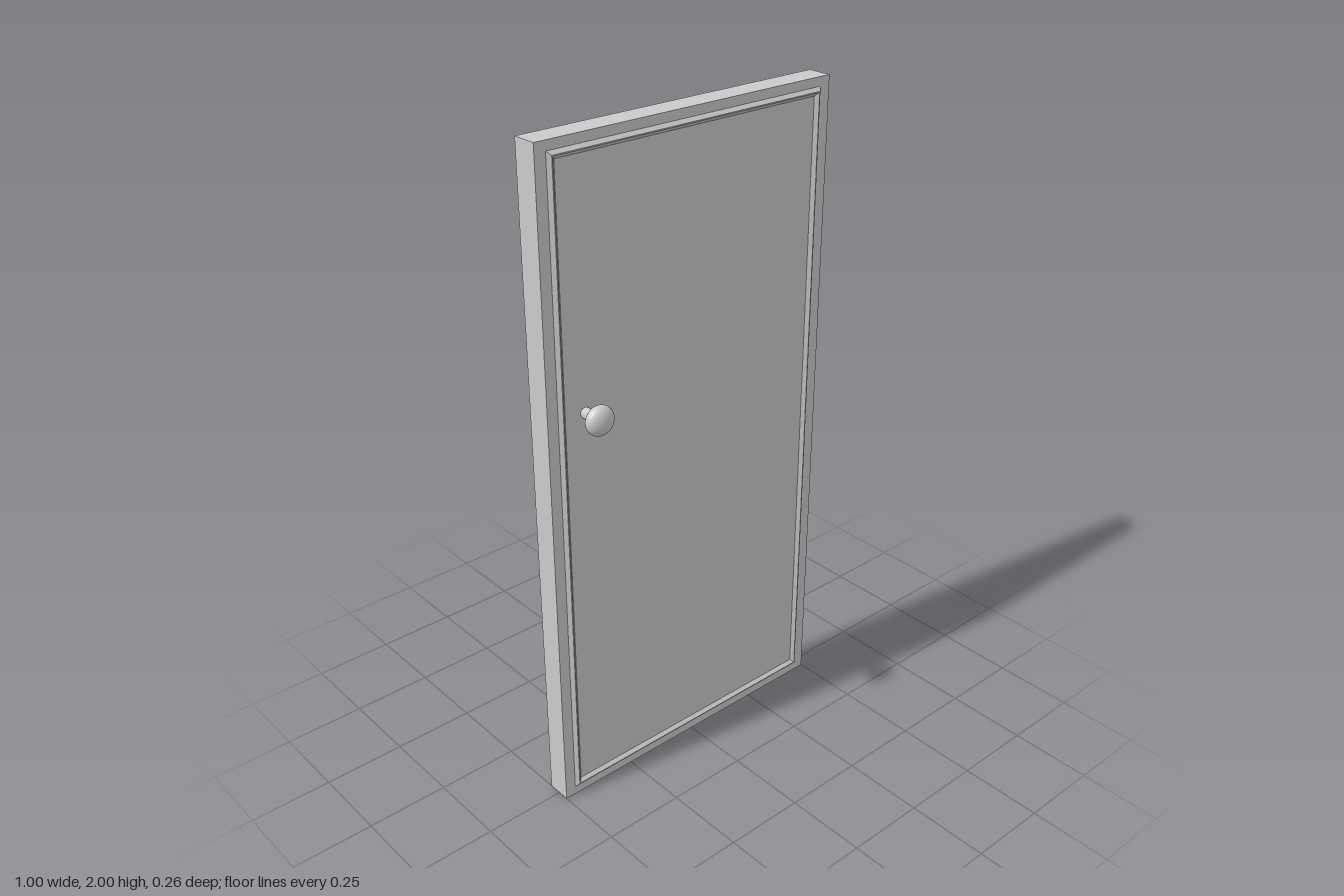
import * as THREE from 'three';

export function createModel() {
  const door = new THREE.Group();
  door.name = 'door';
  door.position.z = -0.002;
  const grey = new THREE.MeshStandardMaterial({ color: 0xcccccc });
  const add = (parent, name, geometry) => {
    const mesh = new THREE.Mesh(geometry, grey);
    mesh.name = name;
    parent.add(mesh);
    return mesh;
  };

  // Plain slab
  const halfDepth = 0.0375;
  add(door, 'slab', new THREE.BoxGeometry(1, 2, halfDepth * 2)).position.y = 1;

  // Rectangular outline centred on the slab
  const rectangle = (w, h, Type) => new Type().setFromPoints([
    new THREE.Vector2(-w, -h), new THREE.Vector2(w, -h),
    new THREE.Vector2(w, h), new THREE.Vector2(-w, h),
    new THREE.Vector2(-w, -h),
  ]);

  // Thin mitred moulding, chamfered on its outer and inner edges
  const frame = rectangle(0.456, 0.963, THREE.Shape);
  frame.holes.push(rectangle(0.453, 0.96, THREE.Path));
  const mouldingGeometry = new THREE.ExtrudeGeometry(frame, {
    depth: 0.005, bevelThickness: 0.01, bevelSize: 0.01, bevelSegments: 1,
  });

  // Flattened round knob on a slightly flared stem
  const knobX = -0.378, knobY = 1.255;
  const knobGeometry = new THREE.SphereGeometry(0.0435, 32, 20);
  knobGeometry.rotateX(Math.PI / 2).scale(1, 1, 0.66);
  const stemGeometry = new THREE.CylinderGeometry(0.019, 0.015, 0.05, 24);
  stemGeometry.rotateX(Math.PI / 2);

  // Matching hardware and moulding on both faces
  for (const side of ['front', 'back']) {
    const face = new THREE.Group();
    face.name = side + 'Face';
    const back = side === 'back';
    if (back) face.rotation.y = Math.PI;
    const x = back ? -knobX : knobX;
    add(face, side + 'Moulding', mouldingGeometry).position.set(0, 1, halfDepth - 0.005);
    add(face, side + 'KnobStem', stemGeometry).position.set(x, knobY, halfDepth + 0.02);
    add(face, side + 'Knob', knobGeometry).position.set(x, knobY, 0.1);
    door.add(face);
  }

  const model = new THREE.Group();
  model.name = 'doorModel';
  model.add(door);
  return model;
}
